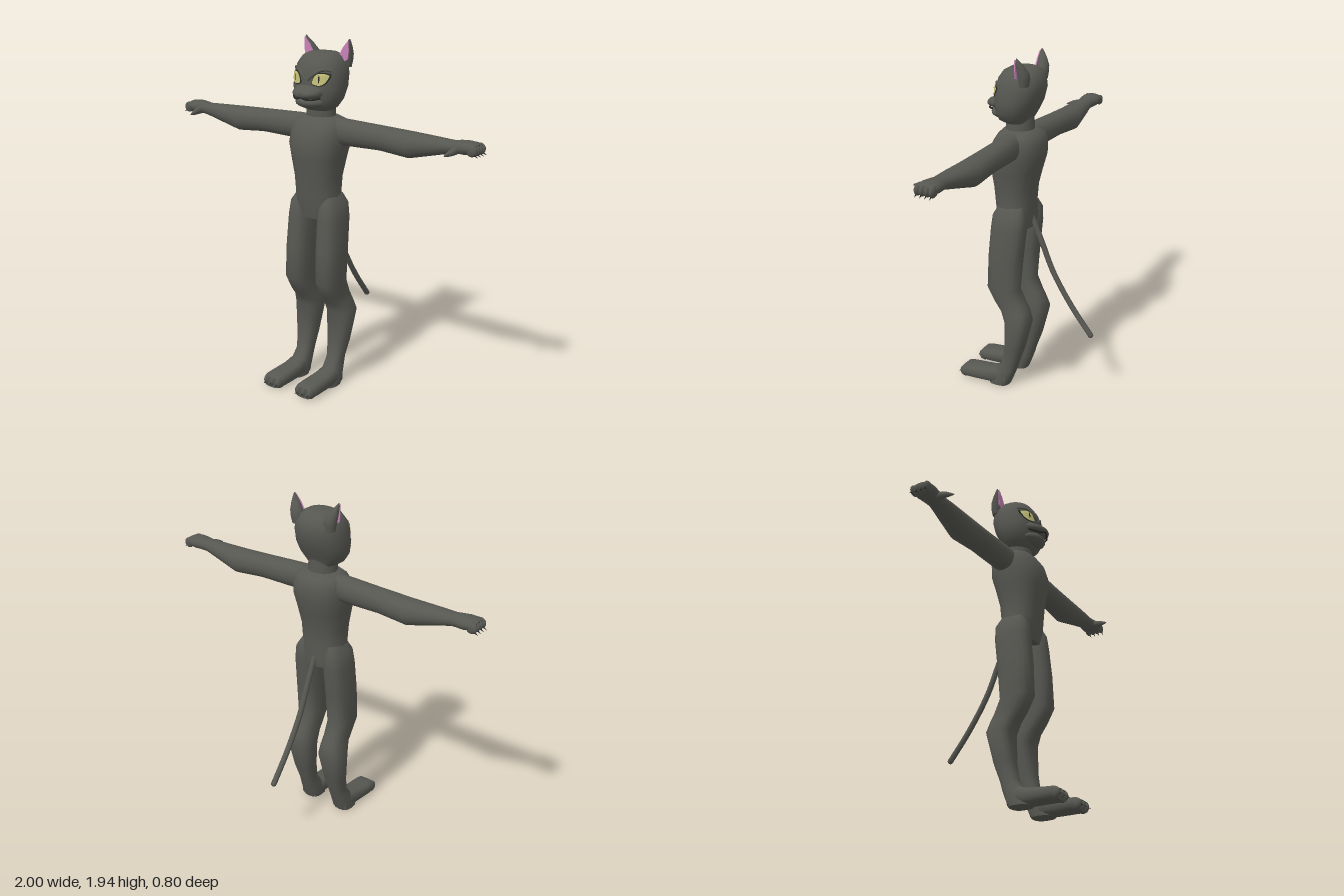
import * as THREE from 'three';
import { toCreasedNormals } from 'three/addons/utils/BufferGeometryUtils.js';

const mat = (name, color) => {
  const m = new THREE.MeshStandardMaterial({ color, side: THREE.DoubleSide });
  m.name = name;
  return m;
};

// Where (a, b, t) land for a loft running along each axis
const PLACE = {
  x: (a, b, t) => [t, a, b],
  y: (a, b, t) => [b, t, a],
  z: (a, b, t) => [a, b, t],
};
const bend = (v, n) => Math.sign(v) * Math.abs(v) ** (2 / n);

// Skin over rows of [t, a0, a1, b0, b1], t ascending; n squares off the section
function loft(axis, rows, n = 2.3, sides = 16, crease = 0.8) {
  const pos = [], idx = [], put = PLACE[axis];
  for (const [t, a0, a1, b0, b1] of rows) {
    for (let j = 0; j < sides; j++) {
      const q = (j / sides) * Math.PI * 2;
      pos.push(...put(
        (a0 + a1) / 2 + ((a1 - a0) / 2) * bend(Math.cos(q), n),
        (b0 + b1) / 2 + ((b1 - b0) / 2) * bend(Math.sin(q), n), t));
    }
  }
  for (let i = 0; i < rows.length - 1; i++) {
    for (let j = 0; j < sides; j++) {
      const k = (j + 1) % sides, p = i * sides, r = p + sides;
      idx.push(p + j, p + k, r + k, p + j, r + k, r + j);
    }
  }
  const end = rows.length - 1;
  for (const i of [0, end]) {
    const [t, a0, a1, b0, b1] = rows[i], c = pos.length / 3, p = i * sides;
    pos.push(...put((a0 + a1) / 2, (b0 + b1) / 2, t));
    for (let j = 0; j < sides; j++) {
      const k = (j + 1) % sides;
      if (i) idx.push(c, p + j, p + k);
      else idx.push(c, p + k, p + j);
    }
  }
  const g = new THREE.BufferGeometry();
  g.setAttribute('position', new THREE.Float32BufferAttribute(pos, 3));
  g.setIndex(idx);
  return toCreasedNormals(g, crease);
}

const ball = (x, y, z, rx, ry, rz) =>
  new THREE.SphereGeometry(1, 16, 10).scale(rx, ry, rz).translate(x, y, z);

const tube = (pts, r, sides = 8) => new THREE.TubeGeometry(
  new THREE.CatmullRomCurve3(pts.map((p) => new THREE.Vector3(...p))), 16, r, sides);

function mirrored(geo) {
  const g = geo.index ? geo.toNonIndexed() : geo.clone();
  g.scale(-1, 1, 1);
  const idx = [];
  for (let i = 0; i < g.attributes.position.count; i += 3) idx.push(i + 2, i + 1, i);
  g.setIndex(idx);
  return g;
}

// Head rows: y, half width, back z, front z
const HEAD = [
  [1.56, 0.07, 0.0, 0.13], [1.585, 0.11, -0.005, 0.17], [1.63, 0.14, -0.03, 0.185],
  [1.69, 0.15, -0.06, 0.19], [1.76, 0.145, -0.08, 0.185], [1.81, 0.134, -0.076, 0.17],
  [1.85, 0.108, -0.055, 0.143], [1.868, 0.075, -0.025, 0.11], [1.873, 0.04, 0.01, 0.075],
];
const HEAD_N = 2.3;

// Front z of the head at x, y
function faceZ(x, y) {
  let i = 0;
  while (i < HEAD.length - 2 && HEAD[i + 1][0] < y) i++;
  const A = HEAD[i], B = HEAD[i + 1], f = (y - A[0]) / (B[0] - A[0]);
  const [, w, b, z] = A.map((v, k) => v + (B[k] - v) * f);
  return (b + z) / 2 + ((z - b) / 2) * (1 - Math.min(1, Math.abs(x / w)) ** HEAD_N) ** (1 / HEAD_N);
}

// Almond patch laid on the face
function almond(cx, cy, rx, ry, tilt, lift) {
  const g = new THREE.RingGeometry(0.001, 1, 24, 5), p = g.attributes.position;
  for (let i = 0; i < p.count; i++) {
    const u = p.getX(i), v = p.getY(i) * (1 - 0.5 * u * u);
    const x = cx + u * rx * Math.cos(tilt) - v * ry * Math.sin(tilt);
    const y = cy + u * rx * Math.sin(tilt) + v * ry * Math.cos(tilt);
    p.setXYZ(i, x, y, faceZ(x, y) + lift);
  }
  g.computeVertexNormals();
  return g;
}

export function createModel() {
  const model = new THREE.Group();
  model.name = 'standingCat';
  const fur = mat('charcoalFur', 0x575752), pink = mat('pinkInnerEar', 0xc882b8);
  const yellow = mat('yellowEye', 0xc4c078), dark = mat('darkDetail', 0x262624);
  const add = (name, geo, m = fur) => {
    const mesh = new THREE.Mesh(geo, m);
    mesh.name = name;
    model.add(mesh);
  };
  const pair = (name, geo, m = fur) => {
    add(name + 'Left', geo, m);
    add(name + 'Right', mirrored(geo), m);
  };

  // Torso and neck
  add('torso', loft('y', [
    [0.97, -0.02, 0.17, -0.11, 0.11], [1.03, -0.025, 0.18, -0.14, 0.14],
    [1.1, -0.02, 0.19, -0.125, 0.125], [1.2, -0.03, 0.2, -0.13, 0.13],
    [1.3, -0.055, 0.215, -0.148, 0.148], [1.38, -0.078, 0.225, -0.163, 0.163],
    [1.46, -0.08, 0.2, -0.162, 0.162], [1.505, -0.06, 0.17, -0.145, 0.145],
    [1.53, -0.02, 0.145, -0.09, 0.09],
  ], 2.4, 20));
  add('neck', loft('y', [[1.5, -0.02, 0.14, -0.085, 0.085], [1.6, -0.015, 0.14, -0.08, 0.08]], 2));

  // Legs and feet
  pair('leg', loft('y', [
    [0, 0.075, 0.2, 0.06, 0.17], [0.05, 0.055, 0.19, 0.055, 0.17],
    [0.1, 0.035, 0.155, 0.06, 0.162], [0.15, 0.02, 0.117, 0.06, 0.157],
    [0.25, -0.015, 0.1, 0.05, 0.172], [0.42, -0.057, 0.092, 0.03, 0.192],
    [0.48, -0.045, 0.125, 0.038, 0.172], [0.53, -0.02, 0.165, 0.042, 0.168],
    [0.61, 0.018, 0.207, 0.038, 0.174], [0.8, 0, 0.2, 0.034, 0.172],
    [0.97, -0.02, 0.185, 0.033, 0.166], [1.05, -0.02, 0.175, 0.04, 0.155],
    [1.1, 0.0, 0.15, 0.05, 0.122],
  ], 2.7));
  pair('foot', loft('z', [
    [0.08, 0.065, 0.165, 0, 0.07], [0.14, 0.056, 0.17, 0, 0.105], [0.2, 0.053, 0.172, 0, 0.088],
    [0.3, 0.048, 0.178, 0, 0.078], [0.35, 0.05, 0.177, 0, 0.074], [0.375, 0.06, 0.168, 0, 0.06],
  ], 3));
  for (const x of [0.073, 0.113, 0.153]) {
    pair('toe', ball(x, 0.034, 0.352, 0.022, 0.034, 0.035));
    pair('toeClaw', new THREE.ConeGeometry(0.009, 0.045, 6).rotateX(Math.PI / 2 + 0.3)
      .translate(x, 0.028, 0.38), dark);
  }

  // Arms and hands
  pair('arm', loft('x', [
    [0.08, 1.39, 1.525, 0, 0.12], [0.16, 1.38, 1.525, -0.012, 0.122],
    [0.4, 1.385, 1.515, -0.02, 0.12], [0.58, 1.37, 1.508, -0.028, 0.126],
    [0.72, 1.405, 1.504, -0.005, 0.118], [0.83, 1.432, 1.5, 0.014, 0.108],
    [0.87, 1.437, 1.505, 0.004, 0.112], [0.91, 1.437, 1.508, -0.002, 0.118],
    [0.955, 1.445, 1.505, 0.0, 0.116], [0.975, 1.452, 1.495, 0.012, 0.104],
  ], 2.2));
  for (const z of [0.016, 0.044, 0.072, 0.1]) {
    pair('finger', ball(0.958, 1.468, z, 0.032, 0.03, 0.016));
    pair('fingerClaw', new THREE.ConeGeometry(0.007, 0.04, 6).rotateZ(-Math.PI / 2 - 0.5)
      .translate(0.981, 1.446, z), dark);
  }
  pair('thumb', loft('z', [
    [0.07, 0.845, 0.895, 1.44, 1.485], [0.12, 0.85, 0.887, 1.438, 1.478],
    [0.155, 0.852, 0.88, 1.438, 1.468], [0.192, 0.856, 0.862, 1.443, 1.449],
  ], 2, 10));

  // Head, muzzle and jaw
  add('head', loft('y', HEAD.map(([y, w, b, f]) => [y, b, f, -w, w]), HEAD_N, 32, 1));
  add('muzzle', loft('z', [
    [0.12, -0.105, 0.105, 1.625, 1.73], [0.18, -0.092, 0.092, 1.63, 1.712],
    [0.215, -0.075, 0.075, 1.637, 1.692], [0.237, -0.05, 0.05, 1.643, 1.68],
    [0.246, -0.025, 0.025, 1.65, 1.672],
  ], 2.1, 16, 1));
  add('lowerJaw', ball(0, 1.615, 0.145, 0.092, 0.037, 0.08));
  add('nose', ball(0, 1.667, 0.236, 0.022, 0.013, 0.011));
  pair('lip', tube([[0, 1.65, 0.243], [0.03, 1.638, 0.231], [0.06, 1.637, 0.214],
    [0.09, 1.645, 0.183]], 0.005, 6), dark);

  // Eyes and brows
  pair('eyeRim', almond(0.079, 1.741, 0.051, 0.036, 0.5, 0.003), dark);
  pair('eye', almond(0.079, 1.741, 0.045, 0.031, 0.5, 0.007), yellow);
  pair('pupil', almond(0.077, 1.743, 0.022, 0.004, Math.PI / 2, 0.01), dark);
  pair('brow', tube([[0.008, 1.735], [0.04, 1.764], [0.08, 1.789], [0.12, 1.785]]
    .map(([x, y]) => [x, y, faceZ(x, y) - 0.001]), 0.009));

  // Ears: hollow-backed leaves with a pink front
  pair('ear', loft('y', [
    [1.79, -0.045, 0.005, 0.08, 0.138], [1.83, -0.052, 0.012, 0.07, 0.147],
    [1.86, -0.05, 0.014, 0.078, 0.151], [1.9, -0.03, 0.015, 0.107, 0.152],
    [1.925, -0.012, 0.013, 0.13, 0.151], [1.942, 0, 0.008, 0.143, 0.148],
  ], 2, 14, 1));
  const inner = new THREE.Shape([[0.084, 1.85], [0.112, 1.818], [0.143, 1.835], [0.148, 1.875],
    [0.146, 1.935], [0.113, 1.898]].map((p) => new THREE.Vector2(...p)));
  pair('innerEar', new THREE.ExtrudeGeometry(inner, { depth: 0.006, bevelEnabled: false })
    .translate(0, 0, 0.012), pink);

  // Tail
  const path = [[0, 1.03, -0.01], [0, 0.88, -0.075], [0, 0.715, -0.145], [0, 0.53, -0.26], [0, 0.372, -0.383]];
  add('tail', tube(path, 0.016, 10));
  add('tailTip', ball(0, 0.372, -0.383, 0.016, 0.016, 0.016));
  return model;
}
